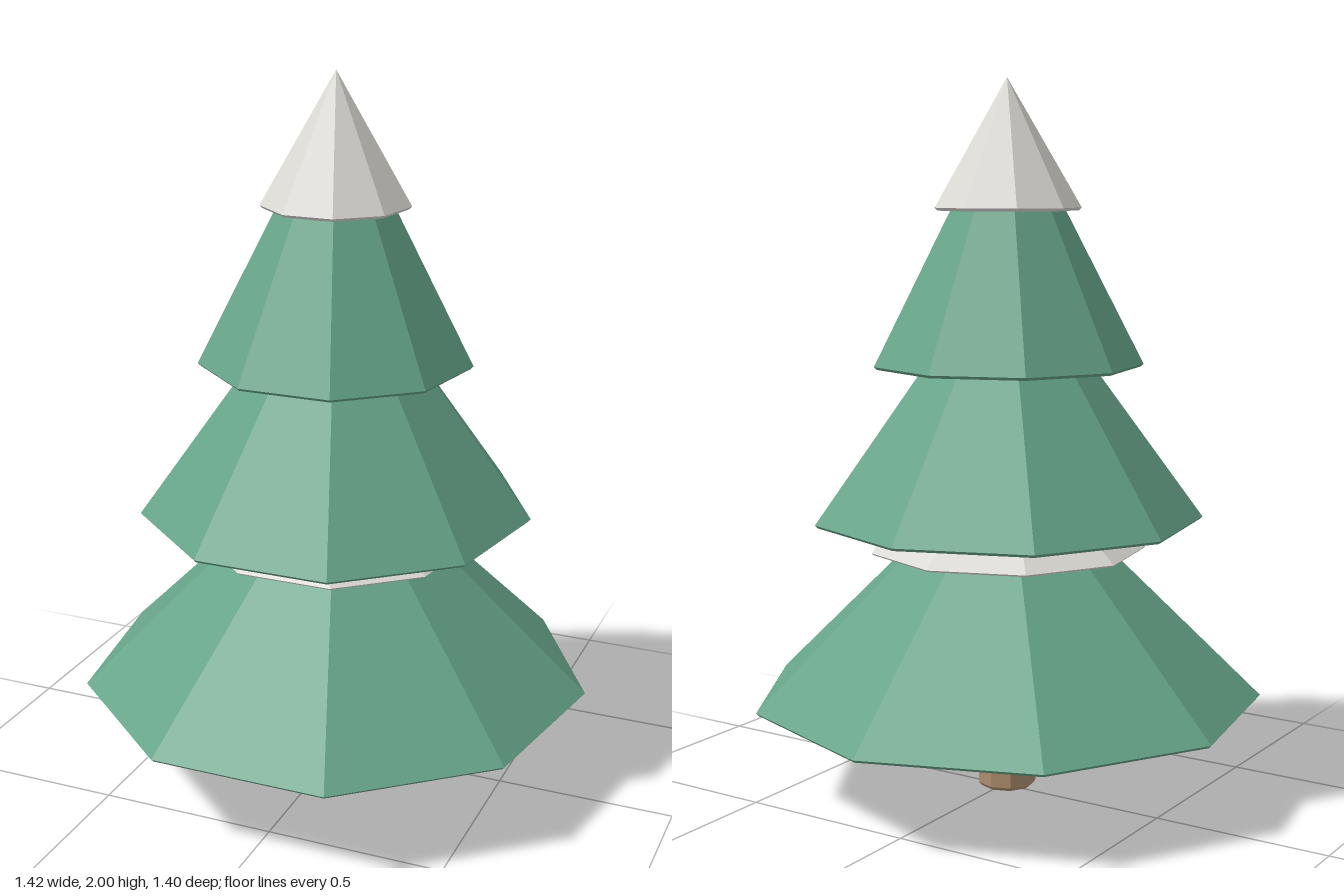
import * as THREE from 'three';

const SIDES = 9;

export function createModel() {
  const mat = (name, color) => {
    const m = new THREE.MeshStandardMaterial({ color, flatShading: true });
    m.name = name;
    return m;
  };
  const green = mat('needle green', 0x66a489);
  const white = mat('snow white', 0xdcdad5);
  const brown = mat('trunk brown', 0xab8d6c);

  const tree = new THREE.Group();
  tree.name = 'snowyTree';

  // Nine-sided solid turned from a profile, with one corner facing the back
  const turned = (name, profile, material) => {
    const points = profile.map(([r, y]) => new THREE.Vector2(r, y));
    const geometry = new THREE.LatheGeometry(points, SIDES, Math.PI);
    const mesh = new THREE.Mesh(geometry, material);
    mesh.name = name;
    mesh.position.z = 0.02;
    tree.add(mesh);
  };

  // Closed cone with a small bevel around its lower rim
  const cone = (name, radius, bottom, apex, material, bevel = 0.008) =>
    turned(name, [[0, bottom], [radius - bevel, bottom], [radius, bottom + bevel], [0, apex]], material);

  // Trunk with a bevelled foot
  turned('trunk', [[0, 0], [0.075, 0], [0.083, 0.01], [0.083, 0.3], [0, 0.3]], brown);

  // Needle tiers
  cone('lowerTier', 0.722, 0.264, 0.975, green);
  cone('middleTier', 0.55, 0.78, 1.54, green);
  cone('upperTier', 0.38, 1.21, 1.955, green);

  // Snow lying between the tiers and on the tip
  cone('lowerSnow', 0.391, 0.695, 1.02, white, 0.005);
  cone('upperSnow', 0.297, 1.207, 1.6, white, 0.005);
  cone('snowTip', 0.206, 1.64, 2, white);

  return tree;
}
